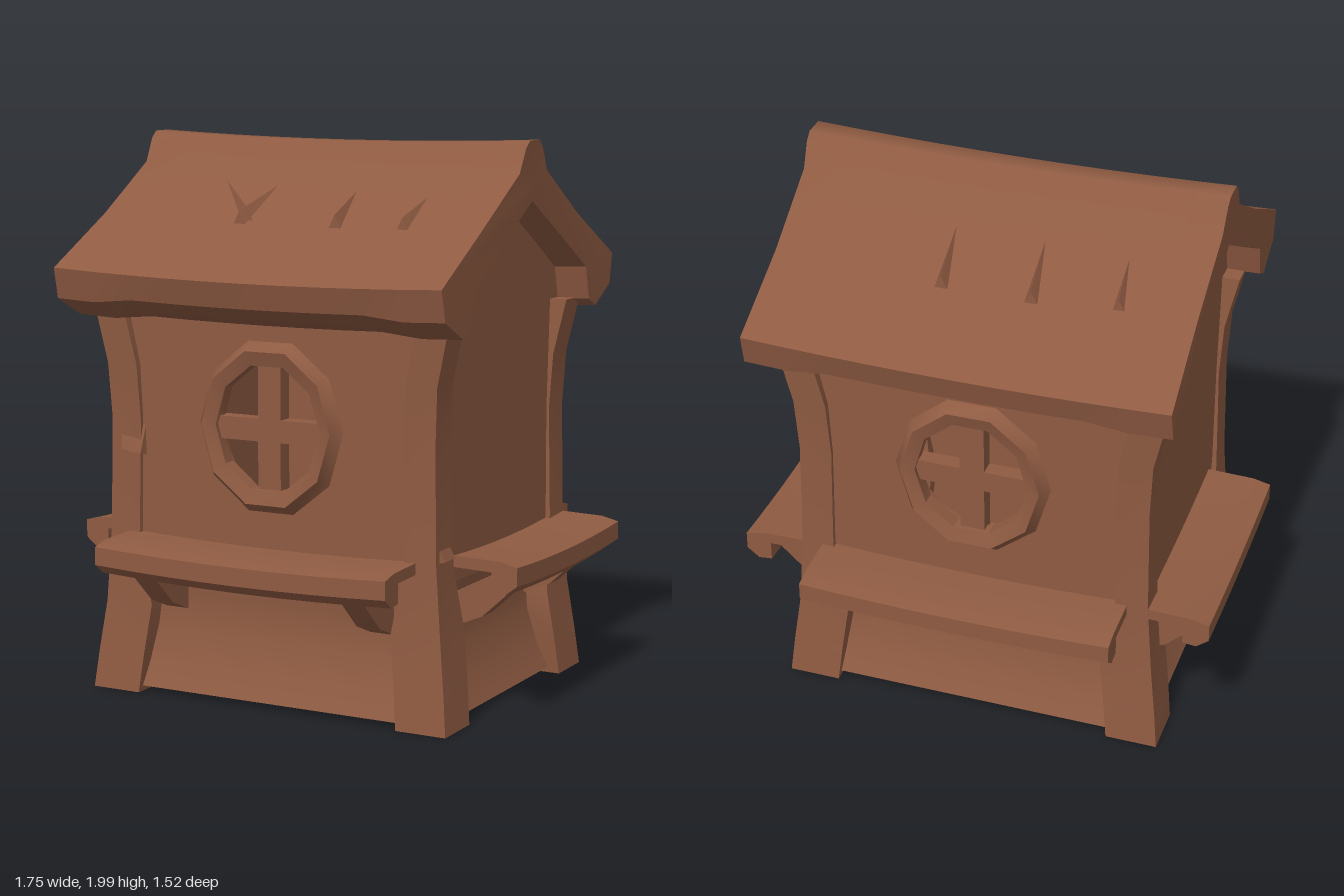
import * as THREE from 'three';
import { toCreasedNormals } from 'three/addons/utils/BufferGeometryUtils.js';
import { ConvexGeometry } from 'three/addons/geometries/ConvexGeometry.js';

const wood = new THREE.MeshStandardMaterial({ color: 0x8f5b42 });
wood.name = 'brown wood';

function add(parent, geometry, name, x = 0, y = 0, z = 0) {
  const mesh = new THREE.Mesh(geometry, wood);
  mesh.name = name;
  mesh.position.set(x, y, z);
  parent.add(mesh);
  return mesh;
}

const shapeOf = (points) => new THREE.Shape(points.map(([x, y]) => new THREE.Vector2(x, y)));

// Profile in (z, y) stretched along x, centred; an optional rule moves each vertex.
function alongX(points, length, rule, steps = 8) {
  const g = new THREE.ExtrudeGeometry(shapeOf(points), { depth: length, steps, bevelEnabled: false });
  g.translate(0, 0, -length / 2);
  g.rotateY(-Math.PI / 2);
  if (rule) {
    const p = g.attributes.position;
    const v = new THREE.Vector3();
    for (let i = 0; i < p.count; i++) {
      rule(v.fromBufferAttribute(p, i));
      p.setXYZ(i, v.x, v.y, v.z);
    }
  }
  return toCreasedNormals(g, 0.7);
}

const hull = (points) => new ConvexGeometry(points.map((p) => new THREE.Vector3(...p)));

// Corner post: square sections that flare at the foot and under the eaves.
function postGeometry() {
  const rows = [[0.01, 0.71, 0.575], [0.15, 0.695, 0.56], [0.33, 0.672, 0.54], [0.6, 0.652, 0.535],
    [1.0, 0.645, 0.53], [1.2, 0.655, 0.54], [1.4, 0.7, 0.55]];
  const g = new THREE.BoxGeometry(1, 1, 1, 1, rows.length - 1, 1);
  const p = g.attributes.position;
  for (let i = 0; i < p.count; i++) {
    const [y, x, z] = rows[Math.round((p.getY(i) + 0.5) * (rows.length - 1))];
    const wide = y < 0.5 ? 0.19 : 0.12;
    p.setXYZ(i, p.getX(i) > 0 ? x : x - wide, y, p.getZ(i) > 0 ? z : z - wide);
  }
  return toCreasedNormals(g, 0.7);
}

// Round window: faceted ring with crossed bars.
function buildWindow() {
  const group = new THREE.Group();
  group.name = 'window';
  const ring = new THREE.TorusGeometry(0.25, 0.045, 5, 10);
  ring.scale(0.97, 1.07, 1);
  add(group, toCreasedNormals(ring, 0.6), 'windowRing');
  add(group, new THREE.BoxGeometry(0.09, 0.5, 0.06), 'verticalBar', 0, 0, -0.02);
  add(group, new THREE.BoxGeometry(0.46, 0.08, 0.06), 'horizontalBar', 0, -0.01, -0.02);
  return group;
}

// Lower panel, shelf and brackets for one side whose wall stands at distance d.
function buildSide(d, panelLength, shelfLength, shift) {
  const side = new THREE.Group();
  side.name = 'lowerSide';
  add(side, alongX([[d, 0.57], [d - 0.045, 0.4], [d - 0.04, 0.25], [d - 0.005, 0.12], [d + 0.035, 0.03],
    [d - 0.1, 0.03], [d - 0.1, 0.57]].reverse(), panelLength), 'lowerPanel');
  const shelf = alongX([[d - 0.03, 0.595], [d + 0.18, 0.59], [d + 0.245, 0.575], [d + 0.245, 0.51],
    [d + 0.2, 0.475], [d + 0.15, 0.48], [d + 0.15, 0.55], [d - 0.03, 0.555]].reverse(), shelfLength,
  (v) => { v.y -= 0.015 * (1 - Math.pow(2 * v.x / shelfLength, 2)); });
  add(side, shelf, 'shelf', shift);
  for (const s of [-1, 1]) {
    const bracket = alongX([[d - 0.06, 0.43], [d + 0.15, 0.54], [d + 0.2, 0.49], [d + 0.06, 0.36],
      [d - 0.06, 0.31]].reverse(), 0.09, null, 1);
    add(side, bracket, 'bracket', shift + s * (shelfLength / 2 - 0.16));
  }
  return side;
}

export function createModel() {
  const model = new THREE.Group();
  model.name = 'woodenHouse';

  // Front and back walls with round openings
  for (const s of [1, -1]) {
    const face = new THREE.Group();
    face.name = s > 0 ? 'frontWall' : 'backWall';
    face.rotation.y = s > 0 ? 0 : Math.PI;
    const wall = shapeOf([[-0.63, 0.5], [0.63, 0.5], [0.63, 1.5], [-0.63, 1.5]]);
    const hole = new THREE.Path();
    hole.absellipse(0, 1.01, 0.23, 0.25, 0, Math.PI * 2, true);
    wall.holes.push(hole);
    add(face, new THREE.ExtrudeGeometry(wall, { depth: 0.07, bevelEnabled: false, curveSegments: 10 }), 'wall', 0, 0, 0.445);
    const win = buildWindow();
    win.position.set(0, 1.01, 0.515);
    face.add(win);
    model.add(face);
  }

  // Gable walls
  for (const s of [-1, 1]) {
    const gable = alongX([[-0.515, 0.5], [-0.515, 1.5], [0, 1.84], [0.515, 1.5], [0.515, 0.5]].reverse(), 0.07, null, 1);
    add(model, gable, 'gableWall', s * 0.6);
  }

  // Floor
  add(model, new THREE.BoxGeometry(1.24, 0.05, 1.0), 'floor', 0, 0.06, 0);

  // Corner posts, turned or mirrored by geometry so that faces stay outward
  for (const sx of [-1, 1]) for (const sz of [-1, 1]) {
    add(model, postGeometry(), 'cornerPost').scale.set(sx, 1, sz);
  }

  // Panels and shelves on all four sides
  const sides = [[0, 0.515, 1.1, 1.15, 0], [Math.PI, 0.515, 1.1, 1.15, 0],
    [Math.PI / 2, 0.63, 0.9, 0.9, 0.085], [-Math.PI / 2, 0.63, 0.9, 0.9, -0.085]];
  for (const [angle, d, panel, shelf, shift] of sides) {
    const side = buildSide(d, panel, shelf, shift);
    side.rotation.y = angle;
    model.add(side);
  }

  // Roof: one slab profile with a ridge cap and rolled eaves, sagging in the middle
  const half = [[0.04, 2.0], [0.07, 1.975], [0.115, 1.89], [0.4, 1.72], [0.72, 1.55], [0.695, 1.44],
    [0.56, 1.37], [0.5, 1.4], [0.47, 1.52], [0.25, 1.65]];
  const profile = [...half, [0, 1.79], ...half.map(([z, y]) => [-z, y]).reverse()].reverse();
  const roof = alongX(profile, 1.5, (v) => {
    const t = Math.abs(v.x) / 0.75;
    v.y -= 0.018 * (1 - t * t);
    v.x *= 1 + 0.012 * Math.min(1, Math.abs(v.y - 1.75) * 4);
    if (v.y < 1.5 && t < 0.8 && Math.abs(v.z) > 0.52) v.y += 0.02;
  }, 10);
  add(model, roof, 'roof');

  // Split shingle slivers on the roof slopes
  const top = (z) => 1.955 - Math.abs(z) * 0.565;
  const slivers = [[-0.45, 0.1, -0.17, 0.38, 1], [-0.14, 0.14, -0.19, 0.4, 1], [0.17, 0.16, 0.19, 0.4, 1],
    [0.47, 0.16, 0.45, 0.4, 1], [-0.46, 0.16, -0.48, 0.4, -1], [0.16, 0.16, 0.14, 0.42, -1], [-0.16, 0.16, -0.18, 0.42, -1]];
  for (const [x0, z0, x1, z1, s] of slivers) {
    add(model, hull([[x0, top(z0) - 0.03, s * z0], [x1 - 0.03, top(z1) - 0.04, s * z1],
      [x1 + 0.03, top(z1) - 0.04, s * z1], [x1, top(z1) + 0.02, s * z1]]), 'shingleSliver');
  }

  // Small splinters on the walls
  add(model, hull([[-0.62, 1.05, 0.5], [-0.62, 0.88, 0.5], [-0.51, 0.87, 0.5], [-0.51, 1.03, 0.5],
    [-0.6, 0.89, 0.545], [-0.52, 0.88, 0.545]]), 'wallSplinter');
  add(model, hull([[0.6, 0.74, 0.53], [0.6, 0.58, 0.53], [0.6, 0.58, 0.4], [0.6, 0.74, 0.45],
    [0.67, 0.6, 0.5], [0.67, 0.6, 0.42]]), 'sideSplinter');
  return model;
}
